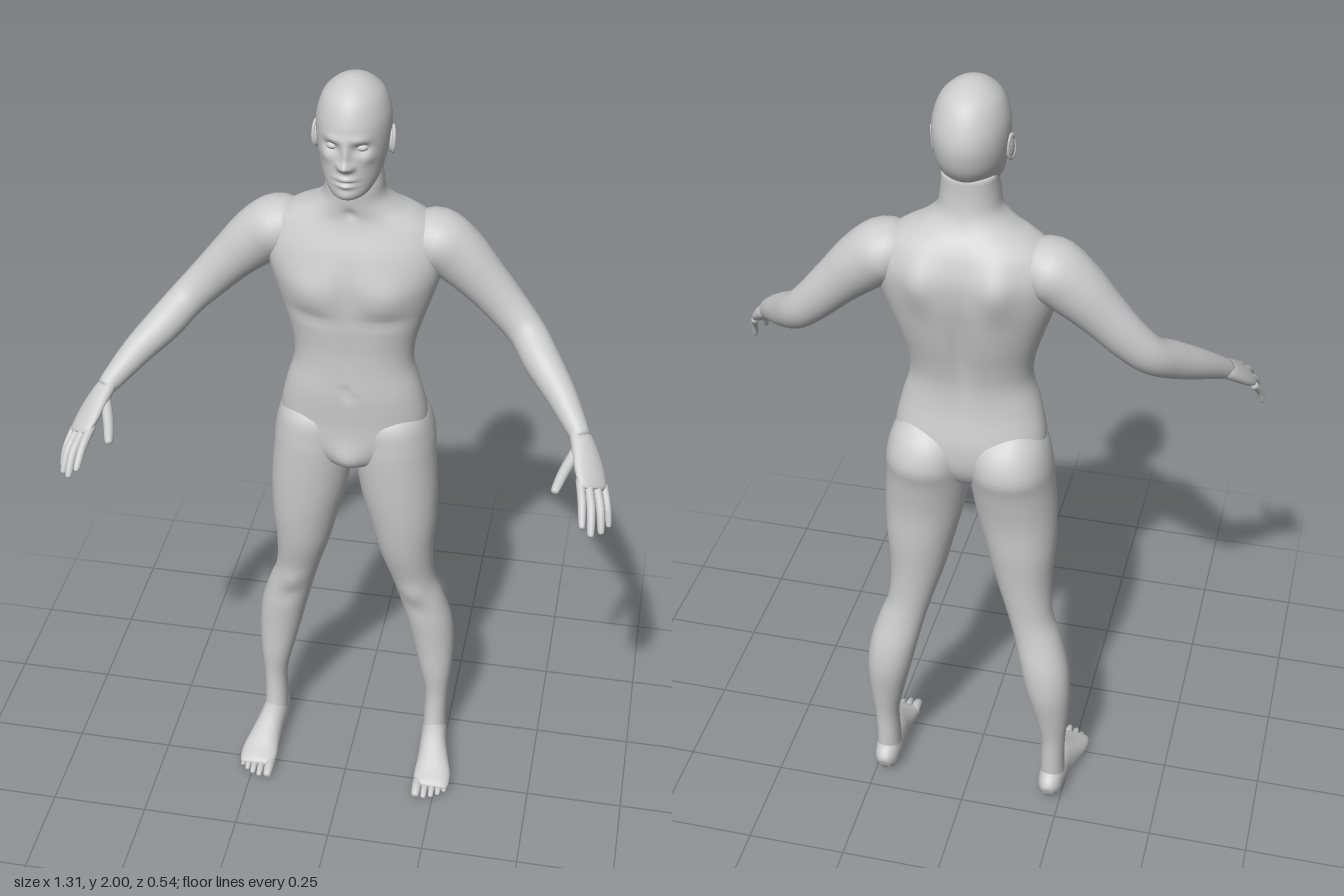
import * as THREE from 'three';

const skin = new THREE.MeshStandardMaterial({ color: 0xcccccc });
skin.name = 'paleGrey';

// Skins rings through rows of [x, y, z, radiusU, radiusV].
// level keeps the rings horizontal, otherwise they follow the path.
function loft(rows, { segs = 24, steps = 4, hint = [0, 0, 1], level = false, power = 1 } = {}) {
  const path = new THREE.CatmullRomCurve3(rows.map(r => new THREE.Vector3(r[0], r[1], r[2])), false, 'catmullrom');
  const size = new THREE.CatmullRomCurve3(rows.map(r => new THREE.Vector3(r[3], r[4], 0)), false, 'catmullrom');
  const n = (rows.length - 1) * steps;
  const pos = [], index = [];
  const bend = c => Math.sign(c) * Math.abs(c) ** power;
  for (let i = 0; i <= n; i++) {
    const c = path.getPoint(i / n), s = size.getPoint(i / n);
    const t = level ? new THREE.Vector3(0, Math.sign(rows.at(-1)[1] - rows[0][1]), 0) : path.getTangent(i / n);
    const u = level ? new THREE.Vector3(1, 0, 0) : new THREE.Vector3(...hint);
    u.addScaledVector(t, -u.dot(t)).normalize();
    const v = t.clone().cross(u);
    for (let j = 0; j < segs; j++) {
      const a = j / segs * Math.PI * 2;
      const p = c.clone().addScaledVector(u, bend(Math.cos(a)) * Math.max(s.x, 0.001))
        .addScaledVector(v, bend(Math.sin(a)) * Math.max(s.y, 0.001));
      pos.push(p.x, p.y, p.z);
    }
  }
  for (let i = 0; i < n; i++) for (let j = 0; j < segs; j++) {
    const a = i * segs + j, b = i * segs + (j + 1) % segs;
    index.push(a, b, a + segs, b, b + segs, a + segs);
  }
  // Close both ends
  const start = pos.length / 3, end = start + 1, last = n * segs;
  pos.push(...rows[0].slice(0, 3), ...rows.at(-1).slice(0, 3));
  for (let j = 0; j < segs; j++) {
    const k = (j + 1) % segs;
    index.push(start, k, j, end, last + j, last + k);
  }
  const g = new THREE.BufferGeometry();
  g.setAttribute('position', new THREE.Float32BufferAttribute(pos, 3));
  g.setIndex(index);
  g.computeVertexNormals();
  return g;
}

// Horizontal row from height, half width, front z, back z and centre x
const slice = ([y, w, f, b, x = 0]) => [x, y, (f + b) / 2, w, (f - b) / 2];

// Soft bumps along z: [x, y, z, spreadX, spreadY, spreadZ, push]; mirrored if asked
function sculpt(g, bumps, mirrored = true) {
  const p = g.attributes.position;
  for (let i = 0; i < p.count; i++) {
    const x = p.getX(i), y = p.getY(i), z = p.getZ(i);
    let dz = 0;
    for (const [bx, by, bz, sx, sy, sz, push] of bumps)
      for (const side of mirrored && bx ? [1, -1] : [1])
        dz += push * Math.exp(-(((x - side * bx) / sx) ** 2) - ((y - by) / sy) ** 2 - ((z - bz) / sz) ** 2);
    p.setZ(i, z + dz);
  }
  g.computeVertexNormals();
  return g;
}

function mirror(g) {
  const m = g.clone().scale(-1, 1, 1), ix = m.index.array;
  for (let i = 0; i < ix.length; i += 3) [ix[i], ix[i + 1]] = [ix[i + 1], ix[i]];
  m.computeVertexNormals();
  return m;
}

// Keeps soles flat on the ground
function ground(g) {
  const p = g.attributes.position;
  for (let i = 0; i < p.count; i++) p.setY(i, Math.max(p.getY(i), 0));
  g.computeVertexNormals();
  return g;
}

// Finger or toe: rounded tube through base, joint and tip
function digit(base, joint, tip, r) {
  const neck = tip.map((v, i) => v + (joint[i] - v) * 0.15);
  return loft([[...base, r, r], [...joint, r * 0.95, r * 0.95], [...neck, r * 0.75, r * 0.7], [...tip, r * 0.25, r * 0.25]],
    { segs: 12, steps: 5, hint: [1, 0, 0] });
}

export function createModel() {
  const model = new THREE.Group();
  const add = (name, g) => {
    const mesh = new THREE.Mesh(g, skin);
    mesh.name = name;
    model.add(mesh);
  };
  const pair = (name, g) => { add(name + 'Left', g); add(name + 'Right', mirror(g)); };

  // Torso and neck
  add('torso', sculpt(loft([
    [0.975, 0.03, -0.07, -0.15], [1.0, 0.1, -0.04, -0.19], [1.05, 0.165, -0.025, -0.22], [1.12, 0.18, -0.024, -0.225],
    [1.2, 0.165, -0.02, -0.21], [1.27, 0.145, -0.022, -0.207], [1.33, 0.148, -0.022, -0.217], [1.4, 0.168, -0.017, -0.235],
    [1.46, 0.188, -0.014, -0.248], [1.52, 0.205, -0.013, -0.258], [1.58, 0.212, -0.028, -0.258], [1.63, 0.19, -0.047, -0.242],
    [1.66, 0.15, -0.056, -0.224], [1.68, 0.108, -0.056, -0.207], [1.71, 0.074, -0.053, -0.192], [1.75, 0.066, -0.052, -0.186],
    [1.8, 0.06, -0.07, -0.186],
  ].map(slice), { segs: 72, level: true, power: 0.9 }), [
    [0.09, 1.48, -0.02, 0.06, 0.045, 0.06, 0.012], [0.09, 1.42, -0.02, 0.06, 0.014, 0.05, -0.006], // chest
    [0, 1.5, -0.01, 0.015, 0.07, 0.06, -0.008], [0, 1.3, -0.02, 0.012, 0.08, 0.05, -0.004],
    [0, 1.215, -0.02, 0.009, 0.01, 0.04, -0.01], [0, 1.02, -0.04, 0.035, 0.035, 0.05, 0.018],
    [0, 1.42, -0.24, 0.02, 0.18, 0.06, 0.016], [0.088, 1.57, -0.25, 0.035, 0.06, 0.06, -0.018], // back
    [0, 1.68, -0.06, 0.012, 0.012, 0.04, -0.008],
  ]));

  // Head with modelled face
  add('head', sculpt(loft([
    [1.738, 0.014, -0.03, -0.07], [1.744, 0.034, -0.006, -0.1], [1.757, 0.05, 0.001, -0.13], [1.78, 0.064, 0.002, -0.17],
    [1.81, 0.073, 0.002, -0.198], [1.84, 0.08, 0.001, -0.213], [1.88, 0.084, 0.002, -0.22], [1.92, 0.082, -0.004, -0.212],
    [1.96, 0.068, -0.022, -0.191], [1.985, 0.044, -0.05, -0.16], [1.997, 0.02, -0.08, -0.127], [2.0, 0.003, -0.1, -0.106],
  ].map(slice), { segs: 96, steps: 7, level: true }), [
    [0, 1.855, 0, 0.009, 0.025, 0.04, 0.011], [0, 1.83, 0, 0.011, 0.012, 0.04, 0.02], // nose
    [0.013, 1.827, 0, 0.007, 0.008, 0.04, 0.01],
    [0.033, 1.868, -0.005, 0.018, 0.011, 0.04, -0.013], [0.03, 1.889, 0, 0.022, 0.008, 0.04, 0.005], // eye sockets, brow
    [0, 1.797, 0, 0.021, 0.006, 0.04, 0.009], [0, 1.782, 0, 0.019, 0.006, 0.04, 0.008], // lips
    [0, 1.79, 0, 0.022, 0.0028, 0.04, -0.006], [0, 1.757, 0, 0.02, 0.012, 0.04, 0.004],
    [0.05, 1.843, -0.02, 0.016, 0.014, 0.04, 0.006],
  ]));
  pair('eye', new THREE.SphereGeometry(1, 20, 14).scale(0.015, 0.009, 0.012).translate(0.032, 1.868, -0.022));

  // Ears: shell and rim
  pair('ear', new THREE.SphereGeometry(1, 20, 14).scale(0.008, 0.029, 0.017).rotateX(-0.15).rotateY(0.25).translate(0.083, 1.85, -0.108));
  pair('earRim', new THREE.TorusGeometry(0.018, 0.004, 8, 28).scale(0.85, 1.55, 1).rotateY(Math.PI / 2 + 0.3)
    .rotateX(-0.15).translate(0.087, 1.852, -0.109));

  // Legs
  pair('leg', sculpt(loft([
    [1.17, 0.045, -0.08, -0.18, 0.1], [1.12, 0.086, -0.032, -0.236, 0.095], [1.06, 0.098, -0.024, -0.257, 0.1],
    [1.0, 0.1, -0.024, -0.242, 0.103], [0.9, 0.097, -0.03, -0.222, 0.113], [0.8, 0.085, -0.04, -0.215, 0.125],
    [0.7, 0.069, -0.057, -0.205, 0.134], [0.6, 0.056, -0.085, -0.2, 0.152], [0.53, 0.058, -0.096, -0.207, 0.174],
    [0.45, 0.06, -0.102, -0.223, 0.195], [0.37, 0.055, -0.108, -0.225, 0.208], [0.28, 0.043, -0.111, -0.209, 0.218],
    [0.2, 0.031, -0.118, -0.195, 0.223], [0.12, 0.03, -0.113, -0.192, 0.222], [0.05, 0.032, -0.1, -0.19, 0.223],
  ].map(slice), { segs: 40, level: true, power: 0.95 }), [
    [0.16, 0.57, -0.09, 0.03, 0.03, 0.05, 0.008], [0.17, 0.51, -0.1, 0.025, 0.018, 0.04, -0.004],
  ], false));

  // Feet and toes
  pair('foot', ground(loft([
    [0.222, 0.036, -0.208, 0.012, 0.018], [0.222, 0.043, -0.192, 0.028, 0.041], [0.223, 0.05, -0.15, 0.034, 0.052],
    [0.227, 0.048, -0.1, 0.036, 0.05], [0.234, 0.036, -0.05, 0.042, 0.038], [0.239, 0.024, -0.005, 0.049, 0.026],
    [0.24, 0.017, 0.03, 0.047, 0.017], [0.24, 0.014, 0.042, 0.038, 0.01],
  ], { segs: 32, hint: [1, 0, 0], power: 0.9 })));
  [[0.204, 0.076, 0.0135], [0.226, 0.078, 0.0095], [0.245, 0.071, 0.009], [0.262, 0.06, 0.0085], [0.277, 0.045, 0.0085]]
    .forEach(([x, z, r], i) => pair('toe' + (i + 1), ground(digit([x, 0.017, z - 0.055], [x, 0.016, z - 0.025], [x, 0.009, z], r))));

  // Arms
  pair('arm', loft([
    [0.12, 1.6, -0.15, 0.05, 0.04], [0.18, 1.592, -0.15, 0.08, 0.07], [0.235, 1.555, -0.15, 0.07, 0.07],
    [0.3, 1.493, -0.146, 0.055, 0.058], [0.36, 1.43, -0.138, 0.046, 0.05], [0.41, 1.38, -0.118, 0.043, 0.045],
    [0.452, 1.34, -0.065, 0.044, 0.044], [0.502, 1.298, -0.005, 0.037, 0.037], [0.545, 1.256, 0.055, 0.028, 0.028],
    [0.564, 1.236, 0.083, 0.024, 0.022],
  ], { segs: 32 }));

  // Hands and fingers
  pair('palm', loft([
    [0.553, 1.247, 0.067, 0.024, 0.017], [0.565, 1.234, 0.085, 0.031, 0.02], [0.58, 1.212, 0.115, 0.038, 0.019],
    [0.592, 1.19, 0.145, 0.042, 0.017], [0.602, 1.172, 0.172, 0.039, 0.013], [0.605, 1.166, 0.18, 0.03, 0.008],
  ], { segs: 28, hint: [0.77, -0.42, -0.48] }));
  const fingers = {
    thumb: [[0.558, 1.22, 0.105], [0.535, 1.196, 0.165], [0.519, 1.176, 0.222], 0.0135],
    indexFinger: [[0.573, 1.187, 0.175], [0.583, 1.16, 0.222], [0.59, 1.118, 0.268], 0.0105],
    middleFinger: [[0.592, 1.177, 0.175], [0.605, 1.146, 0.226], [0.611, 1.097, 0.268], 0.011],
    ringFinger: [[0.611, 1.166, 0.165], [0.625, 1.135, 0.207], [0.633, 1.086, 0.238], 0.0105],
    littleFinger: [[0.627, 1.158, 0.147], [0.64, 1.123, 0.178], [0.648, 1.078, 0.198], 0.009],
  };
  for (const [name, f] of Object.entries(fingers)) pair(name, digit(...f));

  return model;
}
